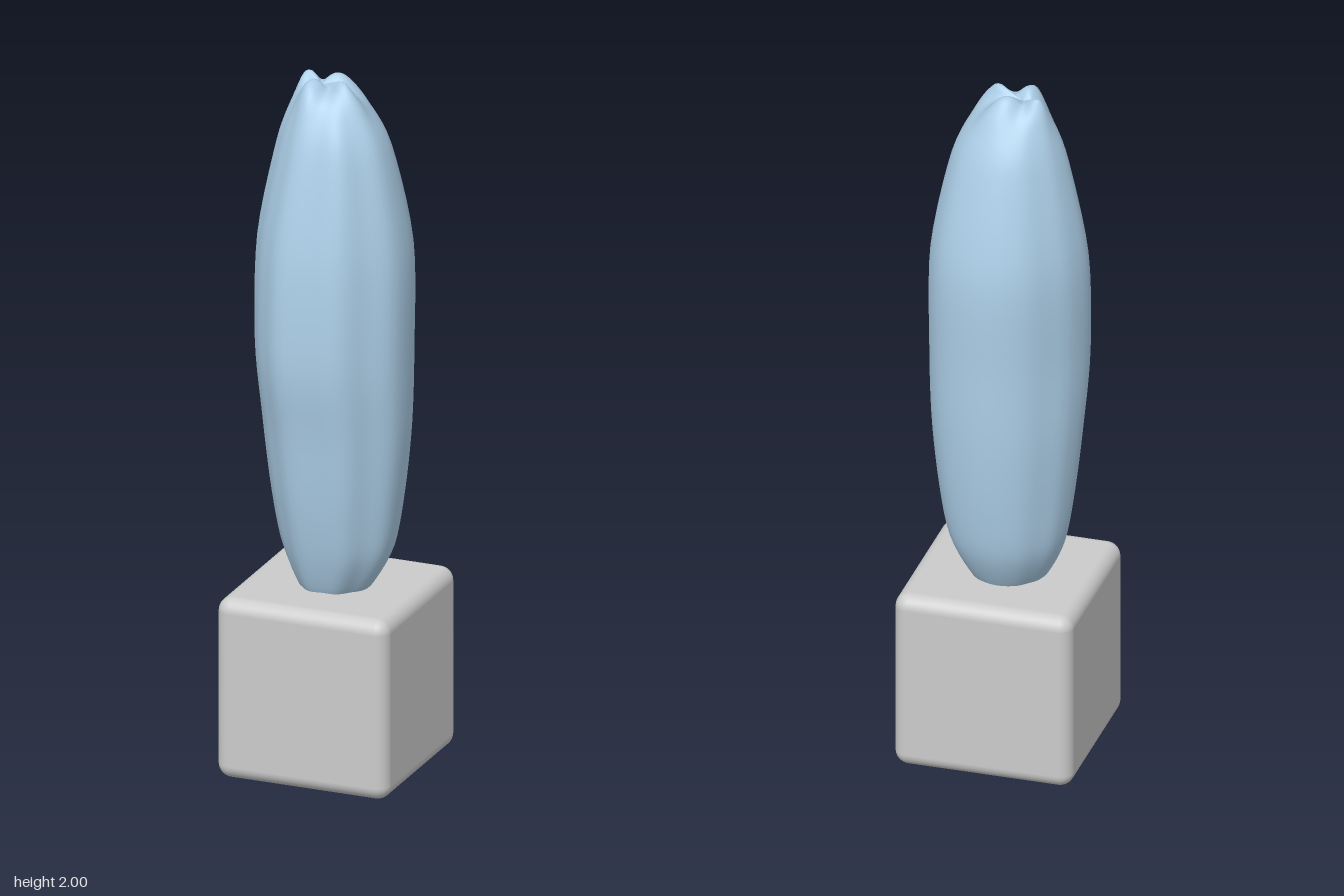
import * as THREE from 'three';
import { RoundedBoxGeometry } from 'three/addons/geometries/RoundedBoxGeometry.js';

// Body cross-sections, bottom to top: y, x min, x max, z min, z max
const SECTIONS = [
  [0.47, -0.01, 0.01, -0.01, 0.01],
  [0.49, -0.07, 0.07, -0.07, 0.06],
  [0.53, -0.105, 0.11, -0.115, 0.105],
  [0.64, -0.142, 0.162, -0.168, 0.163],
  [0.80, -0.175, 0.19, -0.193, 0.193],
  [1.00, -0.202, 0.208, -0.212, 0.215],
  [1.22, -0.233, 0.215, -0.22, 0.225],
  [1.52, -0.22, 0.217, -0.22, 0.217],
  [1.80, -0.163, 0.15, -0.165, 0.165],
  [1.92, -0.12, 0.09, -0.125, 0.11],
  [1.975, -0.085, 0.045, -0.1, 0.065],
  [1.988, -0.045, 0.015, -0.08, 0.03],
  [1.975, -0.021, -0.019, -0.036, -0.034],
];

// Relative radius around the body, every 22.5 degrees from +x towards +z
const RIDGES = [0.99, 1.0, 0.98, 0.98, 1.0, 0.94, 1.0, 0.95, 1.03, 0.96, 0.95, 1.02, 0.99, 0.95, 0.98, 0.99];

function lumpyBody() {
  const across = 64, perSection = 5;
  const last = SECTIONS.length - 1, rings = last * perSection;
  const centres = new THREE.CatmullRomCurve3(
    SECTIONS.map(([y, x0, x1, z0, z1]) => new THREE.Vector3((x0 + x1) / 2, y, (z0 + z1) / 2)), false, 'catmullrom', 0.45);
  const radii = new THREE.CatmullRomCurve3(
    SECTIONS.map(([, x0, x1, z0, z1]) => new THREE.Vector3((x1 - x0) / 2, 0, (z1 - z0) / 2)), false, 'catmullrom', 0.45);

  const positions = [], index = [];
  for (let i = 0; i <= rings; i++) {
    const c = centres.getPoint(i / rings), r = radii.getPoint(i / rings);
    const tip = THREE.MathUtils.smoothstep(i / perSection, last - 4, last - 1.5)
      * THREE.MathUtils.clamp((last - i / perSection) / 1.2, 0, 1);
    for (let j = 0; j < across; j++) {
      const a = (j / across) * Math.PI * 2;
      const s = (j / across) * 16, k = Math.floor(s);
      const ridge = THREE.MathUtils.lerp(RIDGES[k], RIDGES[(k + 1) % 16], THREE.MathUtils.smoothstep(s - k, 0, 1));
      // Folds gather towards the tip
      const fold = Math.cos(4 * a - 0.5);
      const f = ridge * (1 + 0.09 * tip * fold);
      positions.push(c.x + r.x * f * Math.cos(a), Math.min(2, c.y + 0.014 * tip * fold), c.z + r.z * f * Math.sin(a));
      if (i < rings) {
        const n = (j + 1) % across;
        const p = i * across + j, q = i * across + n;
        index.push(p, p + across, q, q, p + across, q + across);
      }
    }
  }
  const geometry = new THREE.BufferGeometry();
  geometry.setAttribute('position', new THREE.Float32BufferAttribute(positions, 3));
  geometry.setIndex(index);
  geometry.computeVertexNormals();
  return geometry;
}

export function createModel() {
  const group = new THREE.Group();
  group.name = 'bodyOnBlock';

  // Rounded block, turned on its vertical axis
  const base = new THREE.Mesh(
    new RoundedBoxGeometry(0.508, 0.525, 0.508, 5, 0.04),
    new THREE.MeshStandardMaterial({ color: 0xcccccc }));
  base.name = 'base';
  base.position.y = 0.2625;
  base.rotation.y = THREE.MathUtils.degToRad(20);
  group.add(base);

  // Tall ridged body standing on the block
  const body = new THREE.Mesh(lumpyBody(), new THREE.MeshStandardMaterial({ color: 0xadcfe8 }));
  body.name = 'body';
  group.add(body);

  return group;
}
